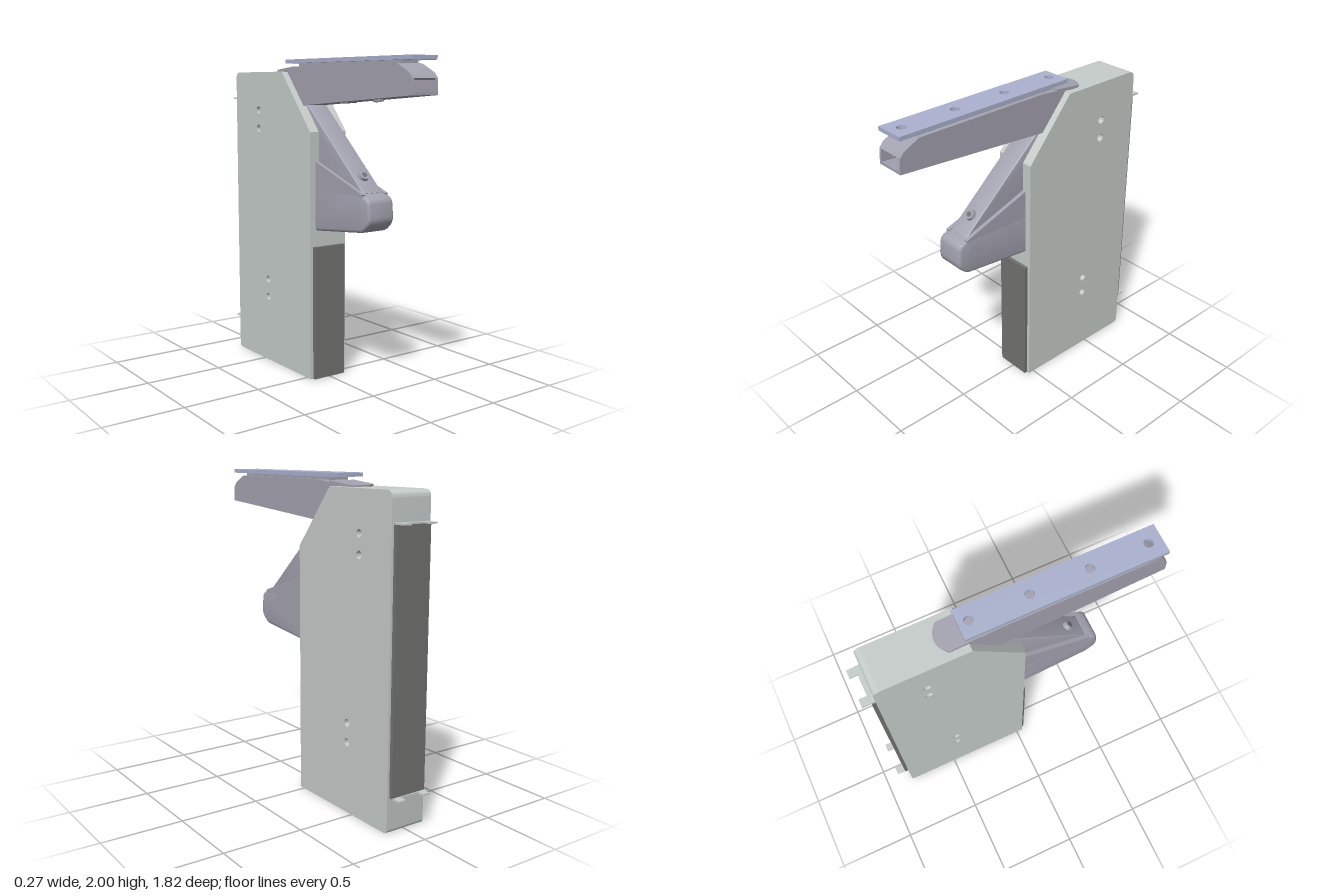
import * as THREE from 'three';
import { toCreasedNormals } from 'three/addons/utils/BufferGeometryUtils.js';

const paint = (name, color) => {
  const m = new THREE.MeshStandardMaterial({ color });
  m.name = name;
  return m;
};

// Closed shape from [a, b, cornerRadius] points
function outline(points) {
  const shape = new THREE.Shape();
  const v = points.map(([a, b]) => new THREE.Vector2(a, b));
  points.forEach(([, , r = 0], i) => {
    const p = v[i], prev = v[(i + v.length - 1) % v.length], next = v[(i + 1) % v.length];
    const start = p.clone().add(prev.clone().sub(p).setLength(r));
    const end = p.clone().add(next.clone().sub(p).setLength(r));
    if (i === 0) shape.moveTo(start.x, start.y); else shape.lineTo(start.x, start.y);
    if (r) shape.quadraticCurveTo(p.x, p.y, end.x, end.y);
  });
  shape.closePath();
  return shape;
}

const circle = (a, b, r) => new THREE.Path().absarc(a, b, r, 0, Math.PI * 2, true);

// Side profile in (z, y), extruded across x from x0 to x1
function across(shape, x0, x1, bevel = 0) {
  const g = new THREE.ExtrudeGeometry(shape, {
    depth: x1 - x0 - 2 * bevel, bevelEnabled: bevel > 0, bevelSize: bevel,
    bevelThickness: bevel, bevelOffset: -bevel, bevelSegments: 3, curveSegments: 16,
  });
  g.rotateY(-Math.PI / 2).translate(x1 - bevel, 0, 0);
  return toCreasedNormals(g, 0.6);
}

// Plan shape in (x, -z), extruded upwards from y
function upward(shape, y, height) {
  const g = new THREE.ExtrudeGeometry(shape, { depth: height, bevelEnabled: false, curveSegments: 20 });
  return toCreasedNormals(g.rotateX(-Math.PI / 2).translate(0, y, 0), 0.6);
}

export function createModel() {
  const root = new THREE.Group();
  const shell = paint('pale grey shell', 0xc6cdca);
  const dark = paint('dark grey cover', 0x727270);
  const steel = paint('violet grey steel', 0xa3a2b0);
  const blue = paint('pale blue plate', 0xabb2cf);

  const add = (name, geometry, material, parent = root) => {
    const mesh = new THREE.Mesh(geometry, material);
    mesh.name = name;
    parent.add(mesh);
    return mesh;
  };
  const box = (name, material, w, h, d, x, y, z, parent) =>
    add(name, new THREE.BoxGeometry(w, h, d).translate(x, y, z), material, parent);

  // Tall housing with through holes
  const body = outline([[0.04, 0], [0.04, 1.56], [-0.27, 1.925], [-0.83, 1.925, 0.045], [-0.83, 0, 0.03]]);
  for (const [z, y] of [[-0.55, 1.68], [-0.55, 1.56], [-0.45, 0.56], [-0.45, 0.44]]) {
    body.holes.push(circle(z, y, 0.024));
  }
  add('housing', across(body, -0.135, 0.135), shell);

  // Front door and back cover
  box('frontDoor', dark, 0.23, 0.85, 0.022, 0, 0.425, 0.05);
  box('backCover', dark, 0.24, 1.53, 0.024, 0, 0.98, -0.841);

  // Back brackets, each a strip with two tabs
  for (const y of [0.215, 1.75]) {
    const bracket = new THREE.Group();
    bracket.name = 'backBracket';
    root.add(bracket);
    box('bracketStrip', shell, 0.23, 0.01, 0.035, 0, y, -0.842, bracket);
    for (const s of [-1, 1]) {
      box('bracketTab', shell, 0.05, 0.01, 0.05, s * 0.09, y, -0.882, bracket);
    }
  }

  // Upper arm: hollow box open at its front end
  const arm = new THREE.Group();
  arm.name = 'upperArm';
  root.add(arm);
  const wall = outline([[0.91, 1.79], [0.905, 1.88, 0.01], [0.88, 1.91], [0.78, 1.96, 0.02],
    [-0.1, 1.958], [-0.27, 1.94], [-0.27, 1.75], [-0.1, 1.718]]);
  for (const x of [-0.092, 0.077]) add('armWall', across(wall, x, x + 0.015), steel, arm);
  const roof = outline([[0.905, 1.88], [0.88, 1.91], [0.78, 1.96], [-0.1, 1.958], [-0.27, 1.94],
    [-0.27, 1.925], [-0.1, 1.943], [0.78, 1.945], [0.87, 1.895], [0.895, 1.87]]);
  add('armRoof', across(roof, -0.08, 0.08), steel, arm);
  const floor = outline([[0.91, 1.79], [0.91, 1.805], [-0.1, 1.735], [-0.1, 1.718]]);
  add('armFloor', across(floor, -0.08, 0.08), steel, arm);

  // Rounded tongue lying on the housing top
  const tongueShape = new THREE.Shape();
  tongueShape.moveTo(-0.092, 0);
  tongueShape.lineTo(0.092, 0);
  tongueShape.lineTo(0.092, 0.18);
  tongueShape.quadraticCurveTo(0, 0.27, -0.092, 0.18);
  const tongue = add('armTongue', upward(tongueShape, 0, 0.018), steel, arm);
  tongue.position.set(0, 1.938, -0.205);
  tongue.rotation.x = -0.1;

  // Mounting plate with bolt holes, on a narrow spacer
  const plate = outline([[-0.092, -0.9], [0.092, -0.9], [0.092, 0.29], [-0.092, 0.29]]);
  for (const z of [-0.23, 0.12, 0.47, 0.82]) plate.holes.push(circle(0, -z, 0.027));
  add('mountingPlate', upward(plate, 1.976, 0.024), blue);
  box('plateSpacer', steel, 0.13, 0.02, 0.96, 0, 1.967, 0.3);

  // Bolt with a six-sided socket in a round head
  const bolt = (name, y, z, tilt) => {
    const g = new THREE.Group();
    g.name = name;
    g.position.set(0, y, z);
    g.rotation.x = tilt;
    add('boltHead', toCreasedNormals(new THREE.CylinderGeometry(0.03, 0.035, 0.03, 24), 0.6), steel, g);
    add('boltSocket', new THREE.CylinderGeometry(0.017, 0.017, 0.004, 6).translate(0, 0.016, 0), dark, g);
    root.add(g);
  };
  bolt('strutBolt', 1.315, 0.39, 0.85);
  bolt('armBolt', 1.765, 0.52, Math.PI - 0.07);
  const port = add('armPort', new THREE.CylinderGeometry(0.05, 0.05, 0.008, 28), dark);
  port.position.set(0, 1.741, 0.24);
  port.rotation.x = -0.07;

  // Slanted strut up to the arm
  const strut = outline([[0.48, 1.225], [-0.09, 1.735], [-0.2, 1.73], [-0.2, 1.2], [0.2, 1.1]]);
  add('strut', across(strut, -0.07, 0.07, 0.008), steel);

  // Lower bracket: rounded nose with raised side cheeks
  const nose = outline([[-0.05, 0.942], [-0.05, 1.22], [0.46, 1.228], [0.55, 1.2, 0.035],
    [0.565, 1.06, 0.04], [0.5, 1.0, 0.03]]);
  add('bracketNose', across(nose, -0.095, 0.095, 0.018), steel);
  const cheek = outline([[-0.05, 1.0], [-0.05, 1.41], [0.04, 1.38], [0.5, 1.222], [0.46, 1.1]]);
  for (const x of [-0.095, 0.07]) add('bracketCheek', across(cheek, x, x + 0.025), steel);

  return root;
}
